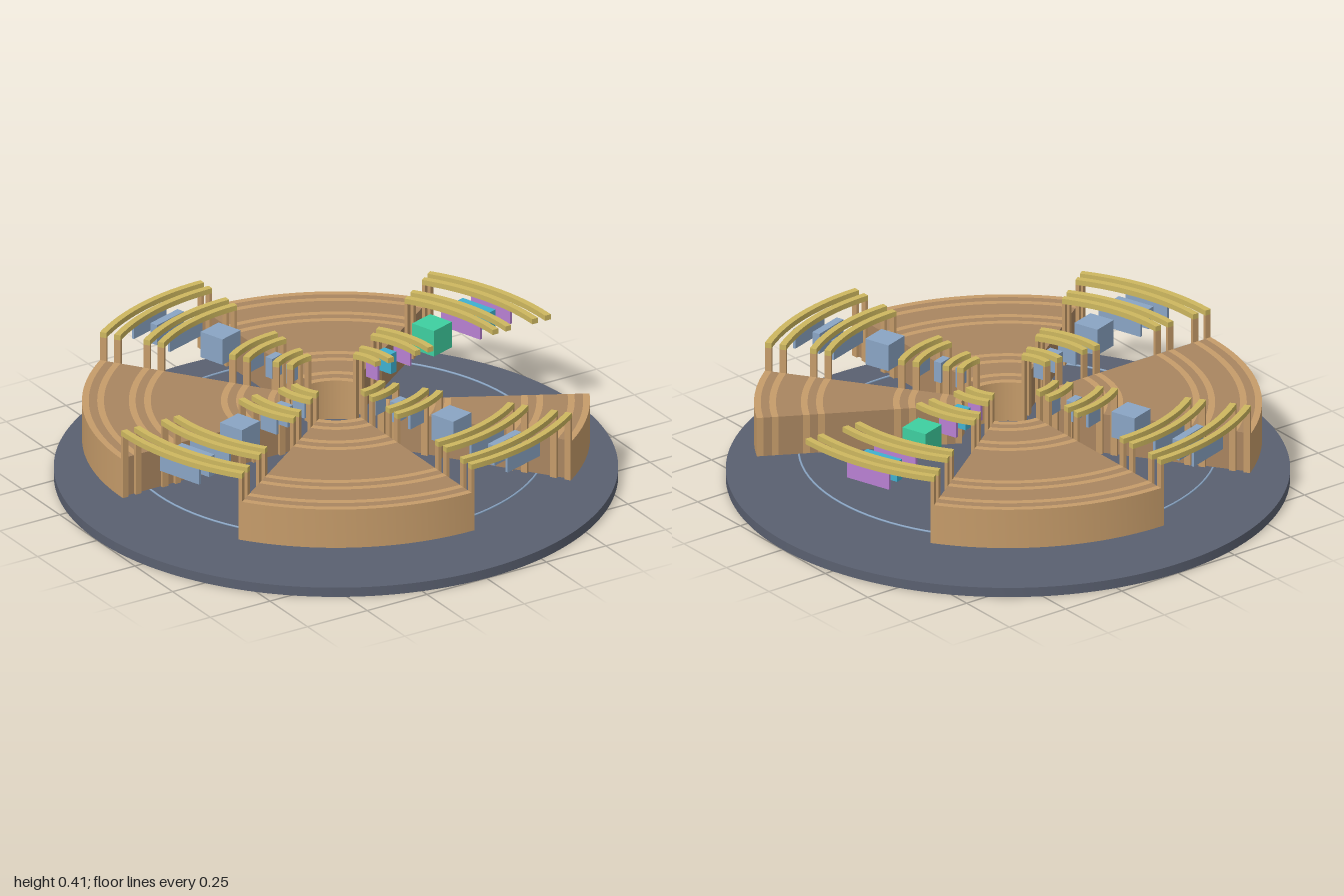
import * as THREE from 'three';
import { toCreasedNormals } from 'three/addons/utils/BufferGeometryUtils.js';

const material = (name, color) => {
  const m = new THREE.MeshStandardMaterial({ color });
  m.name = name;
  return m;
};
const DEG = Math.PI / 180;

export function createModel() {
  const slate = material('slate', 0x5a6070);
  const tan = material('tan', 0xc69c6a);
  const brown = material('brown', 0xa98560);
  const yellow = material('yellow', 0xcdb75f);
  const blue = material('steelBlue', 0x8aa5c4);
  const green = material('green', 0x3ecfa0);
  const cyan = material('cyan', 0x3fb0d0);
  const purple = material('purple', 0xb880d2);

  const model = new THREE.Group();
  model.name = 'rotaryModel';

  const add = (parent, name, geometry, mat) => {
    const mesh = new THREE.Mesh(geometry, mat);
    mesh.name = name;
    parent.add(mesh);
    return mesh;
  };

  // Annular sector, angles in degrees counter-clockwise from +x seen from above
  const sector = (r0, r1, a0, a1, y0, y1) => {
    const shape = new THREE.Shape();
    shape.absarc(0, 0, r1, a0 * DEG, a1 * DEG, false);
    shape.absarc(0, 0, r0, a1 * DEG, a0 * DEG, true);
    shape.closePath();
    const g = new THREE.ExtrudeGeometry(shape, { depth: y1 - y0, bevelEnabled: false, curveSegments: 24 });
    g.rotateX(-Math.PI / 2).translate(0, y0, 0);
    return toCreasedNormals(g, 0.5);
  };

  // Base disc with a small centre hole
  const disc = new THREE.Shape().absarc(0, 0, 1, 0, Math.PI * 2, false);
  disc.holes.push(new THREE.Path().absarc(0, 0, 0.022, 0, Math.PI * 2, true));
  const discGeo = new THREE.ExtrudeGeometry(disc, { depth: 0.036, bevelEnabled: false, curveSegments: 96 });
  add(model, 'baseDisc', toCreasedNormals(discGeo.rotateX(-Math.PI / 2), 0.5), slate);

  // Thin ring floating between base and wedges
  const ringGeo = new THREE.TorusGeometry(0.742, 0.004, 6, 96).rotateX(Math.PI / 2);
  add(model, 'guideRing', ringGeo.translate(0, 0.11, 0), blue);

  const tracks = [0.176, 0.23, 0.342, 0.396, 0.668, 0.722, 0.834, 0.888];
  const half = 0.012;
  const low = 0.145, top = 0.295, railLow = 0.385, railTop = 0.405;

  // Wedges: concentric tan walls with brown filling between them
  const wedges = [[36, 90], [126, 180], [216, 270], [306, 331.5]];
  wedges.forEach(([a0, a1], i) => {
    const wedge = new THREE.Group();
    wedge.name = 'wedge' + (i + 1);
    model.add(wedge);
    tracks.forEach((r, k) => {
      add(wedge, 'wall', sector(r - half, r + half, a0, a1, low, top), tan);
      if (k < tracks.length - 1) {
        add(wedge, 'filling', sector(r + half, tracks[k + 1] - half, a0, a1, low, top), brown);
      }
    });
  });

  // Open bays: curved rails, end posts and the blocks between them
  for (let i = 0; i < 4; i++) {
    const start = i * 90;
    const bay = new THREE.Group();
    bay.name = 'bay' + (i + 1);
    model.add(bay);

    for (const r of tracks) {
      add(bay, 'rail', sector(r - half, r + half, start, start + 36, railLow, railTop), yellow);
      const width = 0.012 / r / DEG;
      add(bay, 'post', sector(r - half, r + half, start + 36 - width, start + 36, low, railLow), tan);
      if (i > 0) {
        add(bay, 'post', sector(r - half, r + half, start, start + width, low, railLow), tan);
      }
    }

    // radius, radial size, height, tangential size, colour in the first bay
    const blocks = [
      ['cube', 0.532, 0.1, 0.1, 0.1, green],
      ['outerBlock', 0.778, 0.03, 0.078, 0.15, cyan],
      ['innerBlock', 0.286, 0.03, 0.078, 0.055, cyan],
      ['outerPlate', 0.861, 0.01, 0.075, 0.18, purple],
      ['outerPlate', 0.695, 0.01, 0.075, 0.18, purple],
      ['innerPlate', 0.369, 0.01, 0.075, 0.075, purple],
      ['innerPlate', 0.203, 0.01, 0.075, 0.055, purple],
    ];
    const holder = new THREE.Group();
    holder.name = 'bayBlocks';
    holder.rotation.y = (start + 18) * DEG;
    bay.add(holder);
    for (const [name, r, depth, height, length, accent] of blocks) {
      const mesh = add(holder, name, new THREE.BoxGeometry(depth, height, length), i === 0 ? accent : blue);
      mesh.position.set(r, name === 'cube' ? 0.356 : 0.346, 0);
    }
  }
  return model;
}
